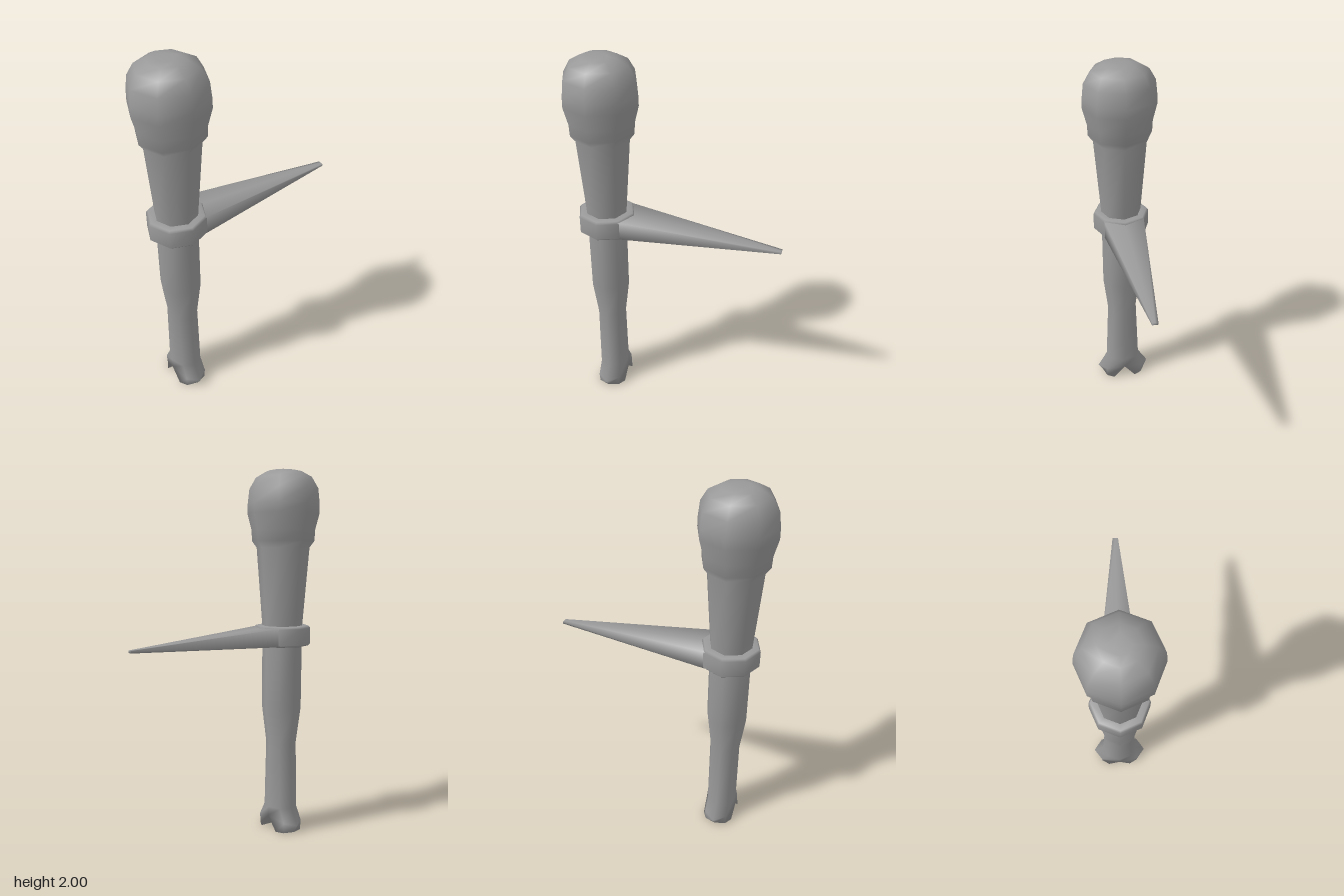
import * as THREE from 'three';
import { mergeGeometries, mergeVertices } from 'three/addons/utils/BufferGeometryUtils.js';

const AXIS_X = -0.375; // centre line of the handle

// Skin over rings of [x, y, z] points, each ring counter-clockwise
// when seen from the end of the sweep; ends are capped on request.
function loft(rings, { closed = true, startCap = false, endCap = false } = {}) {
  const n = rings[0].length;
  const index = [];
  for (let r = 0; r < rings.length - 1; r++) {
    for (let i = 0; i < (closed ? n : n - 1); i++) {
      const a = r * n + i, b = r * n + ((i + 1) % n);
      index.push(a, b, b + n, a, b + n, a + n);
    }
  }
  const last = (rings.length - 1) * n;
  for (let i = 1; i < n - 1; i++) {
    if (startCap) index.push(0, i + 1, i);
    if (endCap) index.push(last, last + i, last + i + 1);
  }
  const geometry = new THREE.BufferGeometry();
  geometry.setAttribute('position', new THREE.Float32BufferAttribute(rings.flat(2), 3));
  geometry.setIndex(index);
  return geometry;
}

// Weld pieces into one surface with continuous normals
function weld(...pieces) {
  const geometry = mergeVertices(mergeGeometries(pieces));
  geometry.computeVertexNormals();
  return geometry;
}

// Octagonal ring with corners on the axes
function octagon([y, rx, rz = rx]) {
  return Array.from({ length: 8 }, (_, i) => {
    const a = (i * Math.PI) / 4;
    return [rx * Math.cos(a), y, -rz * Math.sin(a)];
  });
}

// Front knob of the forked foot: half-octagon rings splayed forwards
function knob() {
  const k = Math.SQRT1_2;
  const outline = [[-1, 0], [-k, k], [0, 1], [k, k], [1, 0]];
  const rings = [
    [0.083, 0, 0.065, 0, 0.125],
    [0.087, 0.08, 0, 0.045, 0.155],
    [0.083, 0.13, 0, 0.13, 0.1],
  ].map(([width, innerY, innerZ, outerY, outerZ]) =>
    outline.map(([x, t]) => [
      x * width,
      THREE.MathUtils.lerp(innerY, outerY, t),
      THREE.MathUtils.lerp(innerZ, outerZ, t),
    ]));
  const cleft = rings.slice(0, 2).map((ring) => [ring[4], ring[0]]);
  return [loft(rings, { closed: false, startCap: true }), loft(cleft, { closed: false })];
}

export function createModel() {
  const group = new THREE.Group();
  const material = new THREE.MeshStandardMaterial({ color: 0x999999 });
  const add = (name, geometry) => {
    const mesh = new THREE.Mesh(geometry, material);
    mesh.name = name;
    mesh.position.x = AXIS_X;
    group.add(mesh);
  };

  // Shin, grip, flaring neck and rounded head with a swollen rim
  const shaft = loft([
    [0.13, 0.083, 0.1],
    [0.5, 0.083, 0.085],
    [0.7, 0.109],
    [1.05, 0.11],
    [1.16, 0.111],
    [1.585, 0.145],
    [1.62, 0.171],
    [1.68, 0.174],
    [1.77, 0.197],
    [1.82, 0.196],
    [1.9, 0.187],
    [1.96, 0.152],
    [1.992, 0.095],
    [2.0, 0.05],
  ].map(octagon), { endCap: true });

  // Forked foot: the knob and its half-turned twin, joined to the shin
  const frontKnob = knob();
  const backKnob = knob().map((piece) => piece.rotateY(Math.PI));
  add('handleWithHeadAndFork', weld(shaft, ...frontKnob, ...backKnob));

  // Collar around the handle
  add('collar', weld(loft([
    [1.05, 0.108],
    [1.05, 0.145],
    [1.06, 0.155],
    [1.148, 0.155],
    [1.16, 0.145],
    [1.16, 0.108],
  ].map(octagon))));

  // Flat tapering spike growing out of the collar
  const spikeRing = ([x, low, high, z]) => [
    [x, low, -z], [x, high, -z], [x, high, 0], [x, high, z], [x, low, z], [x, low, 0],
  ];
  add('spike', weld(loft([
    [0.1, 1.054, 1.153, 0.11],
    [0.945, 1.074, 1.086, 0.015],
  ].map(spikeRing), { endCap: true })));

  return group;
}
